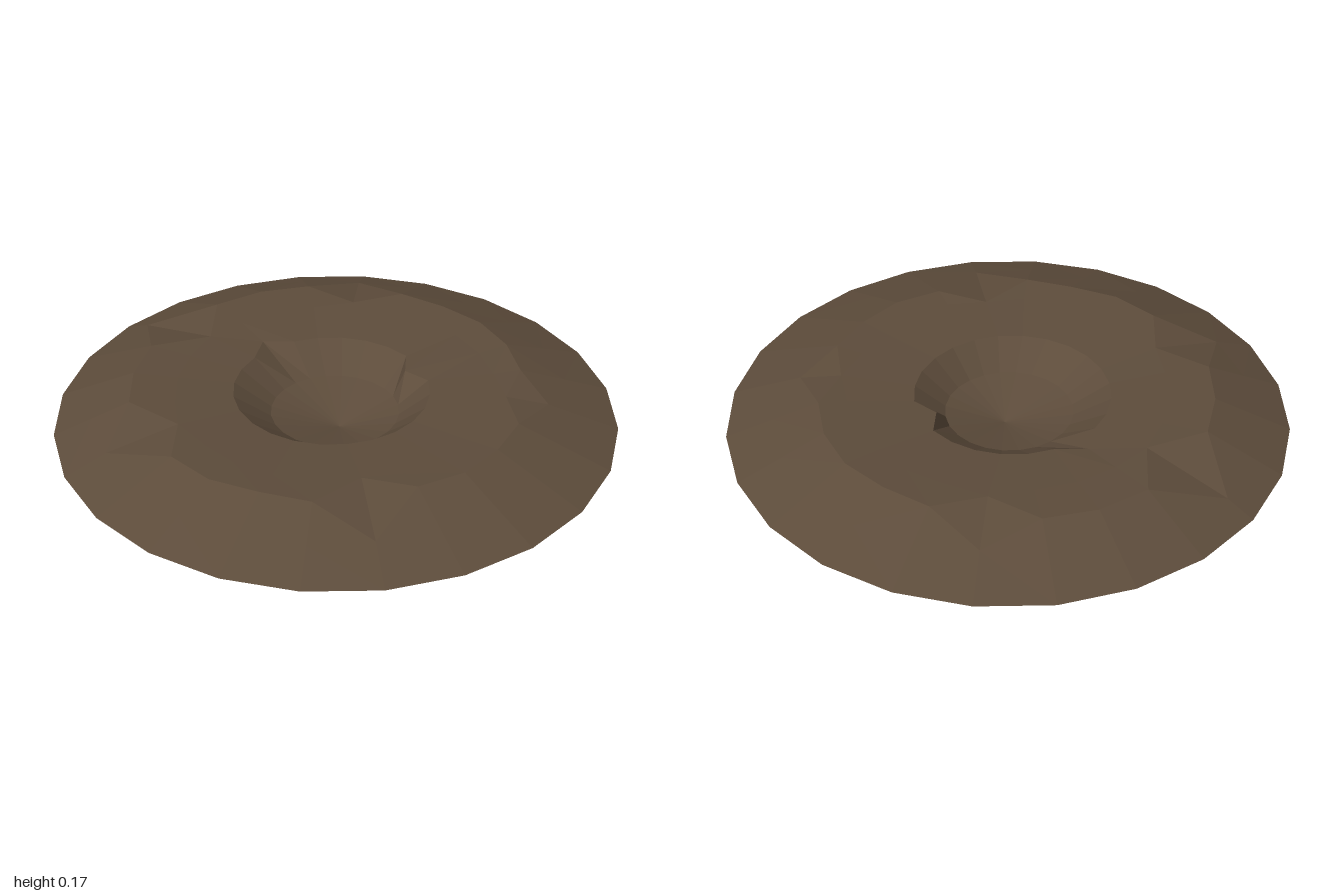
import * as THREE from 'three';

const SIDES = 24;
const RIM_Y = 0.172, BASE_Y = 0.06;

// Crest radius every 15 degrees, from +x round towards +z
const crest = [0.69, 0.695, 0.685, 0.67, 0.67, 0.67, 0.67, 0.675, 0.66, 0.67, 0.69, 0.68,
  0.7, 0.7, 0.71, 0.73, 0.73, 0.73, 0.73, 0.73, 0.73, 0.72, 0.71, 0.7];
// Gullies cut across the crest: side index -> [inner end, outer end]
const gullies = { 4: [0.6, 0.75], 9: [0.55, 0.83], 14: [0.59, 0.85], 18: [0.58, 0.9], 22: [0.6, 0.82] };
// Small chips in the lip of the pit
const chips = { 2: 0.29, 19: 0.41 };

const plateauY = (r) => 0.15 + (r - 0.35) / 0.34 * (RIM_Y - 0.15);
const slopeY = (r, rim) => THREE.MathUtils.lerp(RIM_Y, BASE_Y, (r - rim) / (1 - rim));

function ring(fn) {
  return Array.from({ length: SIDES }, (_, i) => {
    const [r, y, dz = 0] = fn(i);
    const a = i / SIDES * Math.PI * 2;
    return new THREE.Vector3(Math.cos(a) * r, y, Math.sin(a) * r + dz);
  });
}

// Band between two rings; flip(i) picks the diagonal of each quad
function band(inner, outer, flip = () => false) {
  const pts = [];
  for (let i = 0; i < SIDES; i++) {
    const k = (i + 1) % SIDES;
    const a = inner[i], b = inner[k], c = outer[i], d = outer[k];
    if (flip(i)) pts.push(a, b, d, a, d, c);
    else pts.push(a, b, c, b, d, c);
  }
  return new THREE.BufferGeometry().setFromPoints(pts);
}

export function createModel() {
  const group = new THREE.Group();
  group.name = 'crater';
  const earth = new THREE.MeshStandardMaterial({ color: 0x5d4c3b, flatShading: true, side: THREE.DoubleSide });
  earth.name = 'brownEarth';

  // Rings from the pit outwards
  const apex = ring(() => [0, 0, 0.015]);
  const floorEdge = ring(() => [0.23, 0.063, -0.005]);
  const lip = ring((i) => [chips[i] ?? 0.35, 0.15, -0.02]);
  const plateau = ring((i) => {
    const r = gullies[i] ? gullies[i][0] : 0.57;
    return [r, plateauY(r)];
  });
  const slope = ring((i) => {
    const r = gullies[i] ? gullies[i][1] : (crest[i] + 1) / 2;
    return [r, slopeY(r, crest[i])];
  });
  const rim = ring((i) => [crest[i], RIM_Y]);
  for (const i of Object.keys(gullies)) rim[i].lerpVectors(plateau[i], slope[i], 0.5);
  const foot = ring(() => [1, BASE_Y]);

  const parts = {
    pitFloor: band(apex, floorEdge),
    pitWall: band(floorEdge, lip),
    innerTop: band(lip, plateau),
    crestRing: band(plateau, rim, (i) => !!gullies[i]),
    upperSlope: band(rim, slope, (i) => !gullies[i]),
    lowerSlope: band(slope, foot),
  };
  for (const [name, geometry] of Object.entries(parts)) {
    geometry.computeVertexNormals();
    const mesh = new THREE.Mesh(geometry, earth);
    mesh.name = name;
    group.add(mesh);
  }
  return group;
}
